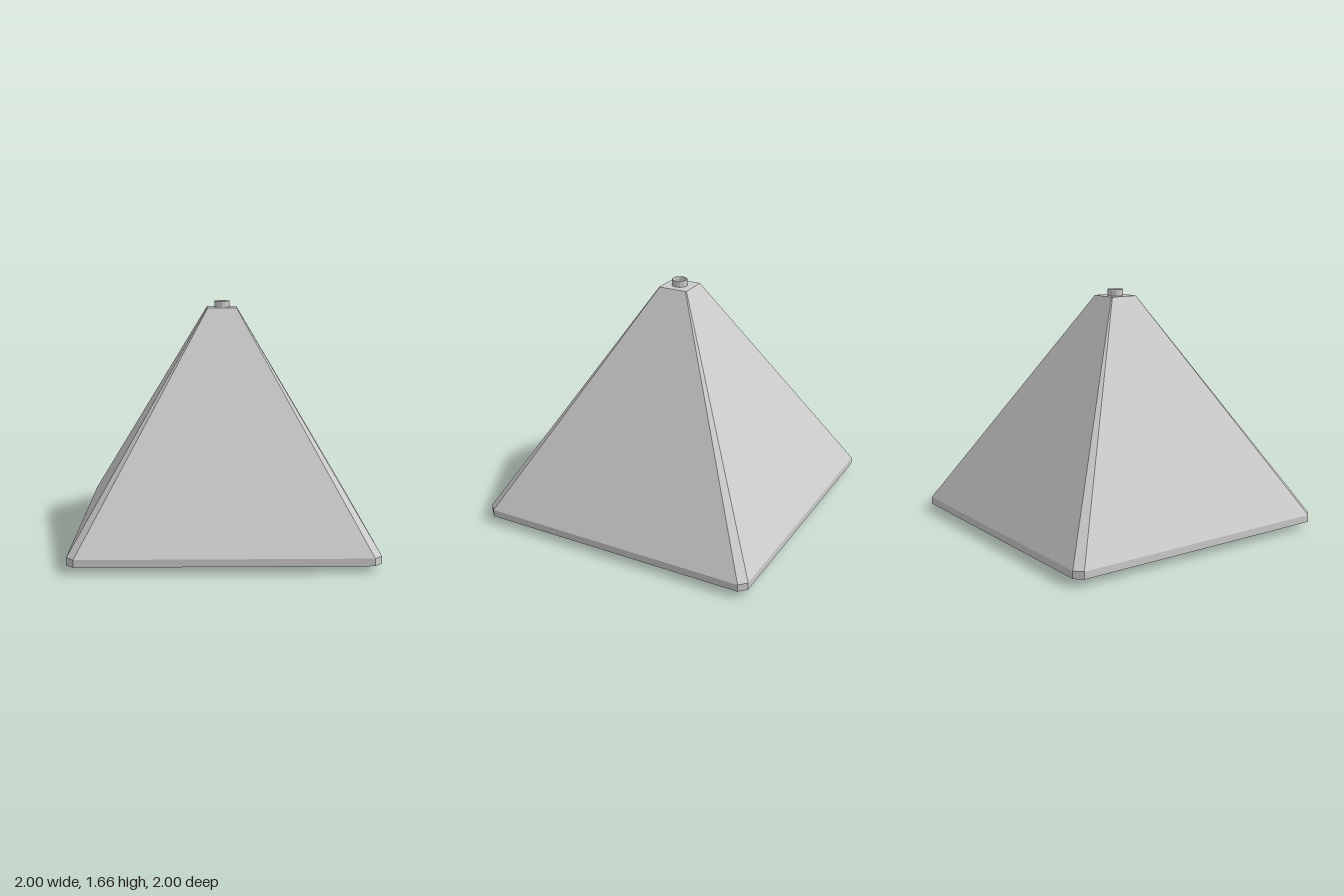
import * as THREE from 'three';

const TUBE_R = 0.053, TUBE_SIDES = 12;

// Square outline with cut corners, counter-clockwise
function outline(half, cut) {
  const a = half, b = half - cut;
  return [[a, -b], [a, b], [b, a], [-b, a], [-a, b], [-a, -b], [-b, -a], [b, -a]]
    .map(([x, y]) => new THREE.Vector2(x, y));
}

// Flat plate with a round hole in the middle, facing up or down
function plate(points, y, up, mat) {
  const shape = new THREE.Shape(points);
  const hole = [];
  for (let i = 0; i < TUBE_SIDES; i++) {
    const t = (i / TUBE_SIDES) * Math.PI * 2;
    hole.push(new THREE.Vector2(TUBE_R * Math.sin(t), TUBE_R * Math.cos(t)));
  }
  shape.holes.push(new THREE.Path(hole));
  const geo = new THREE.ShapeGeometry(shape);
  geo.rotateX(up ? -Math.PI / 2 : Math.PI / 2);
  geo.translate(0, y, 0);
  return new THREE.Mesh(geo, mat);
}

// Flat-sided skin through a stack of outlines
function skin(levels) {
  const pos = [];
  for (let k = 0; k < levels.length - 1; k++) {
    const lo = levels[k], hi = levels[k + 1], n = lo.points.length;
    for (let i = 0; i < n; i++) {
      const j = (i + 1) % n;
      const at = (level, m) => [level.points[m].x, level.y, -level.points[m].y];
      const a = at(lo, i), b = at(lo, j), c = at(hi, j), d = at(hi, i);
      pos.push(...a, ...b, ...c, ...a, ...c, ...d);
    }
  }
  const geo = new THREE.BufferGeometry();
  geo.setAttribute('position', new THREE.Float32BufferAttribute(pos, 3));
  geo.computeVertexNormals();
  return geo;
}

export function createModel() {
  const group = new THREE.Group();
  const mat = new THREE.MeshStandardMaterial({ color: 0xcccccc, flatShading: true });

  // Pyramid body: short upright rim, then sloping sides to a small flat top
  const levels = [
    { y: 0.048, points: outline(1, 0.05) },
    { y: 0.098, points: outline(1, 0.05) },
    { y: 1.616, points: outline(0.104, 0.005) },
  ];
  const body = new THREE.Mesh(skin(levels), mat);
  body.name = 'pyramidBody';
  const base = plate(levels[0].points, levels[0].y, false, mat);
  base.name = 'basePlate';
  const top = plate(levels[2].points, levels[2].y, true, mat);
  top.name = 'topPlate';

  // Open tube through the middle, standing out at both ends
  const height = 1.66;
  const tubeMat = mat.clone();
  tubeMat.side = THREE.DoubleSide;
  const tube = new THREE.Mesh(
    new THREE.CylinderGeometry(TUBE_R, TUBE_R, height, TUBE_SIDES, 1, true), tubeMat);
  tube.position.y = height / 2;
  tube.name = 'centreTube';

  group.add(body, base, top, tube);
  return group;
}
